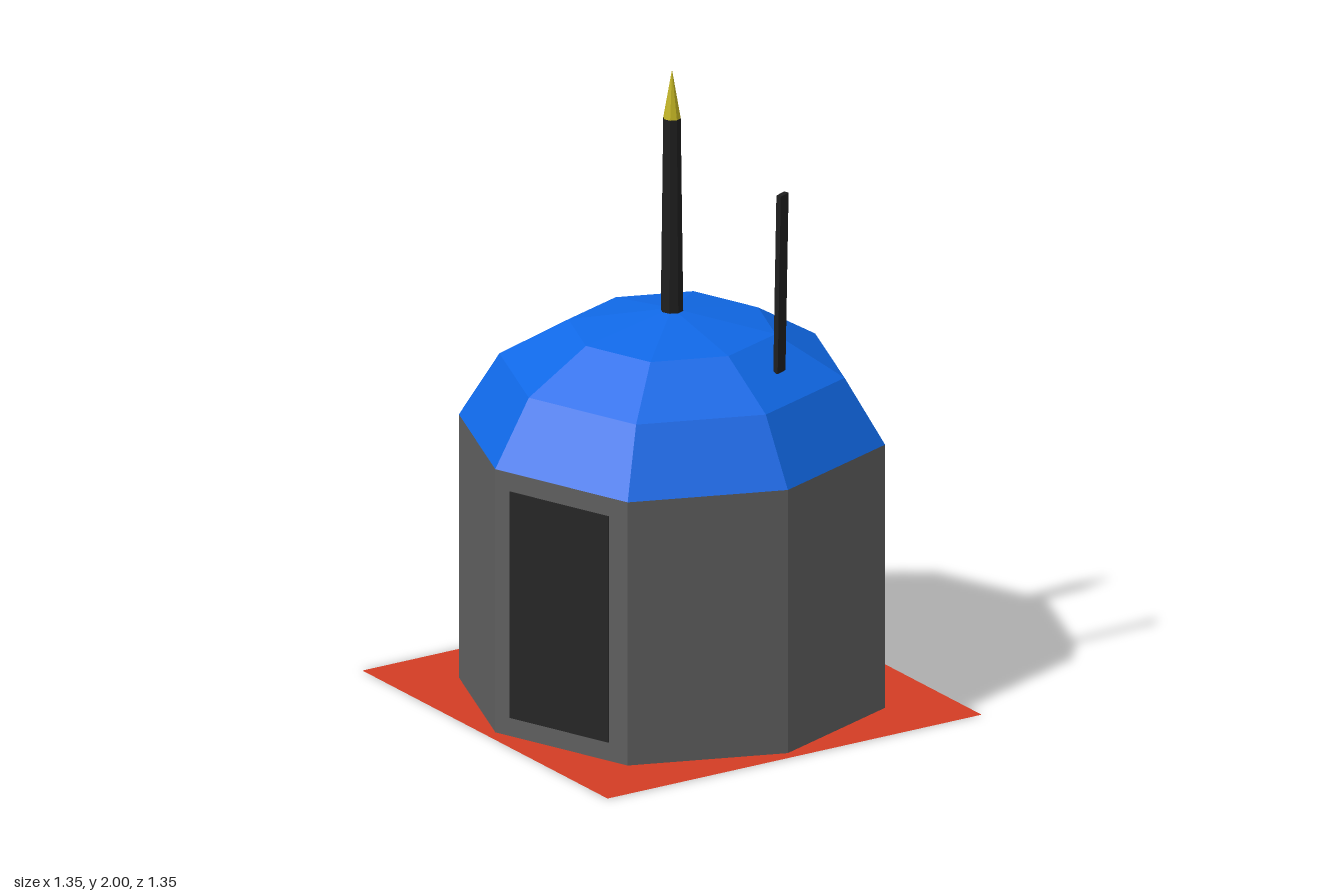
import * as THREE from 'three';

const R = 0.637;        // wall radius at the axis corners
const BULGE = 1.03;     // the diagonal corners sit slightly further out

const mat = (name, color, side = THREE.FrontSide) => {
  const m = new THREE.MeshStandardMaterial({ color, flatShading: true, side });
  m.name = name;
  return m;
};

// Eight-sided shell from [radius, height] pairs, listed bottom to top
function octagonShell(profile) {
  const g = new THREE.LatheGeometry(profile.map(([r, y]) => new THREE.Vector2(r, y)), 8);
  const p = g.attributes.position;
  for (let i = 0; i < p.count; i++) {
    const diagonal = Math.floor(i / profile.length) % 2 === 1;
    if (diagonal) p.setXYZ(i, p.getX(i) * BULGE, p.getY(i), p.getZ(i) * BULGE);
  }
  g.computeVertexNormals();
  return g;
}

export function createModel() {
  const model = new THREE.Group();
  model.name = 'domedTower';

  const red = mat('baseRed', 0xd23c24, THREE.DoubleSide);
  const grey = mat('wallGrey', 0x5e5e5e, THREE.DoubleSide);
  const blue = mat('domeBlue', 0x1068e6, THREE.DoubleSide);
  const dark = mat('doorDark', 0x252525);
  const black = mat('mastBlack', 0x1f1f1f);
  const yellow = mat('tipYellow', 0xc4b624);

  const add = (name, geometry, material, x = 0, y = 0, z = 0) => {
    const mesh = new THREE.Mesh(geometry, material);
    mesh.name = name;
    mesh.position.set(x, y, z);
    model.add(mesh);
    return mesh;
  };

  // Flat square base sheet with an octagonal opening under the walls
  const S = 0.674;
  const square = new THREE.Shape([[-S, -S], [S, -S], [S, S], [-S, S]].map(([x, y]) => new THREE.Vector2(x, y)));
  const opening = [];
  for (let i = 0; i < 8; i++) {
    const a = -i * Math.PI / 4, r = i % 2 ? R * BULGE : R;
    opening.push(new THREE.Vector2(r * Math.cos(a), r * Math.sin(a)));
  }
  square.holes.push(new THREE.Path(opening));
  add('basePlate', new THREE.ShapeGeometry(square).rotateX(-Math.PI / 2), red, 0, 0.001, 0);

  // Hollow walls and faceted dome
  add('walls', octagonShell([[R, 0], [R, 0.845]]), grey);
  add('dome', octagonShell([[R, 0.845], [0.516, 1.05], [0.31, 1.175], [0, 1.235]]), blue);

  // Door plate, flush in the front-right wall and visible from both sides
  const c = R * BULGE * Math.SQRT1_2;
  const a = new THREE.Vector3(-R, 0, 0), b = new THREE.Vector3(-c, 0, c);
  const mid = a.clone().lerp(b, 0.487);
  const door = add('door', new THREE.BoxGeometry(0.37, 0.725, 0.008), dark, mid.x, 0.423, mid.z);
  door.rotation.y = Math.atan2(-c, R - c);

  // Central mast with a pointed tip
  add('mast', new THREE.CylinderGeometry(0.027, 0.035, 0.645, 8), black, 0, 1.5225, 0);
  add('mastTip', new THREE.ConeGeometry(0.027, 0.155, 8), yellow, 0, 1.9225, 0);

  // Thin aerial on the front of the dome, leaning slightly outward
  const aerial = add('aerial', new THREE.BoxGeometry(0.042, 0.575, 0.016), black, 0.152, 1.397, 0.367);
  aerial.rotation.set(0.03, Math.PI / 8, 0);

  return model;
}
